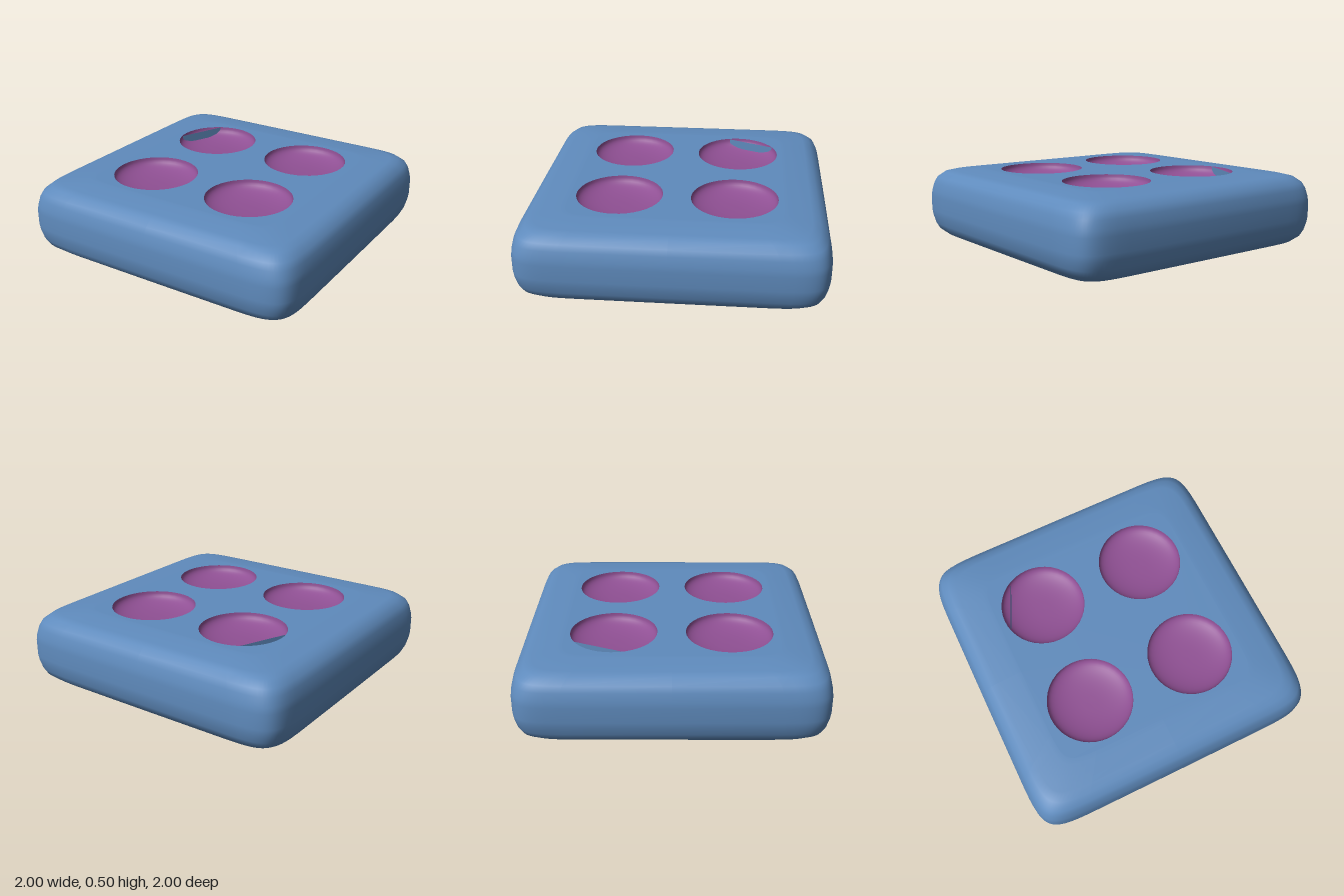
import * as THREE from 'three';

const MID = 0.25;          // half the thickness
const RIM = 0.285;         // dimple radius
const DEPTH = 0.09;        // dimple depth
const SIDES = 64;

// Rounded-square outline point, half-width h
function outline(i, h) {
  const a = (i / SIDES) * Math.PI * 2;
  const p = (v) => (Math.abs(v) < 1e-9 ? 0 : Math.sign(v) * Math.pow(Math.abs(v), 2 / 12));
  return [h * p(Math.cos(a)), h * p(Math.sin(a))];
}

// Smooth rim of the block, lofted from bottom to top
function rimGeometry() {
  const upper = [[1, 0.05], [0.995, 0.09], [0.982, 0.145], [0.963, 0.185], [0.92, 0.222],
    [0.87, 0.236], [0.73, 0.249], [0.7, 0.25]];
  const rings = [...upper.map(([h, y]) => [h, -y]).reverse(), ...upper];
  const pos = [], idx = [];
  rings.forEach(([h, y], j) => {
    for (let i = 0; i < SIDES; i++) {
      const [x, z] = outline(i, h);
      pos.push(x, MID + y, z);
      if (j === rings.length - 1) continue;
      const n = (i + 1) % SIDES;
      const a = j * SIDES + i, b = j * SIDES + n, c = a + SIDES, d = b + SIDES;
      idx.push(a, c, b, b, c, d);
    }
  });
  const g = new THREE.BufferGeometry();
  g.setAttribute('position', new THREE.Float32BufferAttribute(pos, 3));
  g.setIndex(idx);
  g.computeVertexNormals();
  return g;
}

export function createModel() {
  const blue = new THREE.MeshStandardMaterial({ color: 0x5f8bbd, side: THREE.DoubleSide });
  blue.name = 'blue';
  const purple = new THREE.MeshStandardMaterial({ color: 0x905094 });
  purple.name = 'purple';

  const model = new THREE.Group();
  model.name = 'dimpledBlock';
  const add = (name, geometry, material) => {
    const m = new THREE.Mesh(geometry, material);
    m.name = name;
    model.add(m);
    return m;
  };

  add('blockRim', rimGeometry(), blue);

  // Flat face outline and dimple centres
  const centres = [[-0.37, -0.38], [0.37, -0.38], [-0.37, 0.375], [0.37, 0.375]];
  const face = new THREE.Shape(
    Array.from({ length: SIDES }, (_, i) => new THREE.Vector2(...outline(i, 0.7))));

  // Shallow dish profile, from rim to centre
  const profile = Array.from({ length: 15 }, (_, k) => {
    const a = (k / 14) * Math.PI / 2;
    return new THREE.Vector2(
      k === 14 ? 0 : RIM * Math.pow(Math.cos(a), 0.8),
      -DEPTH * Math.pow(Math.sin(a), 0.8));
  });
  const dish = new THREE.LatheGeometry(profile, 40);

  // Same pierced face and dimples on top and bottom
  for (const side of [1, -1]) {
    const label = side > 0 ? 'top' : 'bottom';
    const shape = face.clone();
    for (const [x, z] of centres) {
      const hole = new THREE.Path();
      hole.absarc(x, -z * side, RIM, 0, Math.PI * 2, true);
      shape.holes.push(hole);

      const dimple = add(label + 'Dimple', dish, purple);
      dimple.position.set(x, MID + side * MID, z);
      if (side < 0) dimple.rotation.x = Math.PI;
    }
    const plate = add(label + 'Face', new THREE.ShapeGeometry(shape, 20), blue);
    plate.rotation.x = -side * Math.PI / 2;
    plate.position.y = MID + side * MID;
  }

  // Small upright sliver of a split inside one top dimple
  const sliver = add('splitSliver', new THREE.PlaneGeometry(0.34, 0.06), blue);
  sliver.position.set(-0.575, 0.468, -0.47);
  sliver.rotation.y = Math.atan2(0.33, 0.14);

  return model;
}
